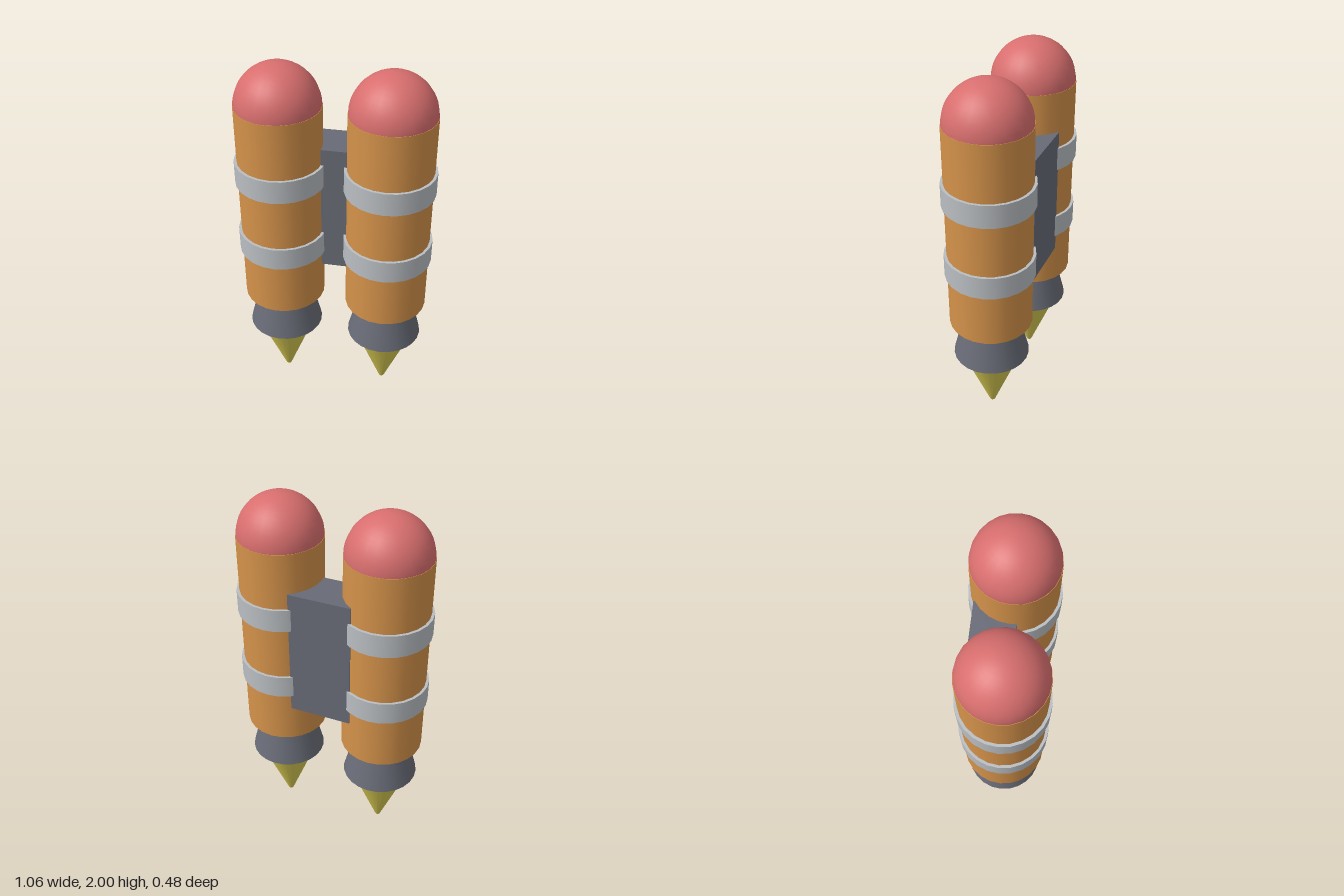
import * as THREE from 'three';

const makeMaterial = (name, color) => {
  const m = new THREE.MeshStandardMaterial({ color });
  m.name = name;
  return m;
};

export function createModel() {
  const orange = makeMaterial('tankOrange', 0xd4924a);
  const red = makeMaterial('domeRed', 0xd86e6e);
  const silver = makeMaterial('bandSilver', 0xbabec2);
  const grey = makeMaterial('darkGrey', 0x686b76);
  const yellow = makeMaterial('flameYellow', 0xd6c852);

  const SIDES = 24;
  const model = new THREE.Group();
  model.name = 'rocketPack';

  const add = (parent, name, geometry, material, y) => {
    const mesh = new THREE.Mesh(geometry, material);
    mesh.name = name;
    mesh.position.y = y;
    parent.add(mesh);
    return mesh;
  };
  // Round section between two heights
  const round = (parent, name, rTop, rBottom, y0, y1, material) =>
    add(parent, name, new THREE.CylinderGeometry(rTop, rBottom, y1 - y0, SIDES), material, (y0 + y1) / 2);

  // Twin boosters
  for (const side of [1, -1]) {
    const booster = new THREE.Group();
    booster.name = side > 0 ? 'leftBooster' : 'rightBooster';
    booster.position.x = side * 0.291;

    round(booster, 'tank', 0.226, 0.226, 0.613, 1.777, orange);
    add(booster, 'dome', new THREE.SphereGeometry(0.224, SIDES, 12, 0, Math.PI * 2, 0, Math.PI / 2), red, 1.776);
    round(booster, 'lowerBand', 0.241, 0.241, 0.92, 1.047, silver);
    round(booster, 'upperBand', 0.241, 0.241, 1.342, 1.469, silver);
    round(booster, 'nozzle', 0.15, 0.209, 0.385, 0.613, grey);
    round(booster, 'flame', 0.167, 0.015, 0, 0.386, yellow);
    model.add(booster);
  }

  // Bracket joining the tanks, set towards the back
  const bracket = add(model, 'bracket', new THREE.BoxGeometry(0.34, 0.728, 0.226), grey, 1.194);
  bracket.position.z = -0.083;

  return model;
}
